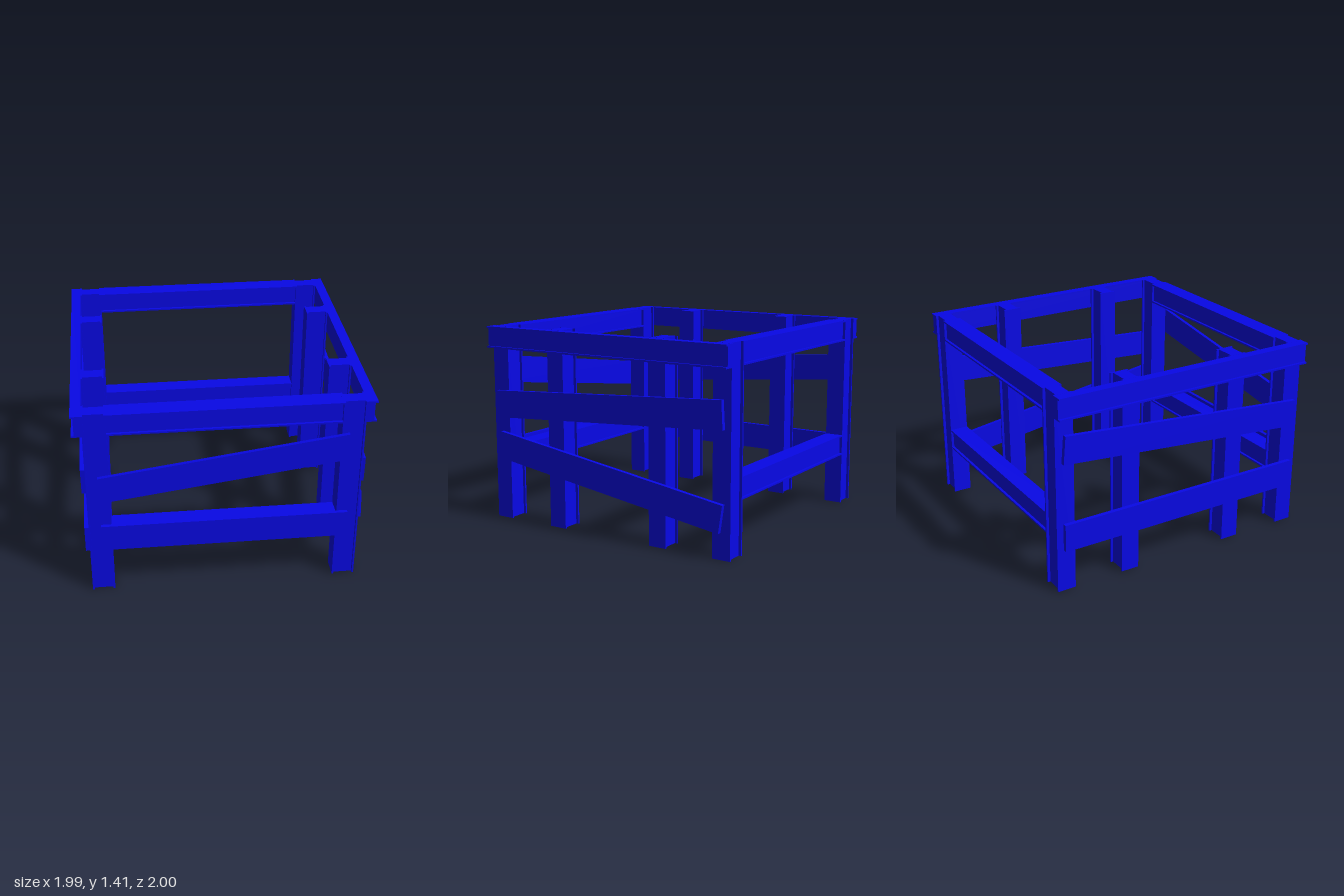
import * as THREE from 'three';

const HALF_PI = Math.PI / 2;
const FLANGE = 0.012; // flange thickness
const RECESS = 0.019; // how far the web sits inside the flange edges

export function createModel() {
  const group = new THREE.Group();
  const material = new THREE.MeshStandardMaterial({ color: 0x0808e6 });

  function add(name, geometry, x, y, z) {
    const mesh = new THREE.Mesh(geometry, material);
    mesh.name = name;
    mesh.position.set(x, y, z);
    group.add(mesh);
    return mesh;
  }

  // Flanged section (flanges above and below), extruded along z and centred
  function beam(width, height, length, left = RECESS, right = RECESS) {
    const w = width / 2, h = height / 2, f = h - FLANGE;
    const points = [
      [-w, -h], [w, -h], [w, -f], [w - right, -f], [w - right, f], [w, f],
      [w, h], [-w, h], [-w, f], [-w + left, f], [-w + left, -f], [-w, -f],
    ].map(([x, y]) => new THREE.Vector2(x, y));
    const geometry = new THREE.ExtrudeGeometry(new THREE.Shape(points), { depth: length, bevelEnabled: false });
    return geometry.translate(0, 0, -length / 2);
  }

  // Upright posts, four along each side
  const postGeometry = beam(0.134, 0.156, 1.41).rotateX(-HALF_PI).rotateY(HALF_PI);
  const posts = [['frontPost', 0.906], ['frontMiddlePost', 0.411], ['backMiddlePost', -0.437], ['backPost', -0.933]];
  for (const [name, z] of posts) {
    for (const side of [1, -1]) add(name, postGeometry, side * 0.848, 0.705, z);
  }

  // Top and lower cross rails between the corner posts
  const crossGeometry = beam(0.134, 0.153, 1.55).rotateY(HALF_PI);
  for (const [end, z] of [['front', 0.906], ['back', -0.933]]) {
    add(end + 'TopRail', crossGeometry, 0, 1.333, z);
    add(end + 'LowerRail', crossGeometry, 0, 0.455, z);
  }

  // Long top rails outside the posts, open channel facing outward
  add('leftTopRail', beam(0.07, 0.153, 1.973, 0, RECESS), 0.961, 1.333, -0.0135);
  add('rightTopRail', beam(0.07, 0.153, 1.973, RECESS, 0), -0.961, 1.333, -0.0135);

  // Front boards, the upper one sloping
  const frontBoard = new THREE.BoxGeometry(1.685, 0.195, 0.027);
  add('frontLowerBoard', frontBoard, 0, 0.458, 0.9865);
  add('frontUpperBoard', frontBoard, 0, 0.967, 0.9865).rotation.z = 0.142;

  // Side boards: name, side, height, slope
  const sideBoard = new THREE.BoxGeometry(0.031, 0.195, 1.875);
  const boards = [
    ['leftUpperBoard', 1, 0.903, 0.0575],
    ['leftLowerBoard', 1, 0.415, -0.147],
    ['rightUpperBoard', -1, 0.955, 0.084],
    ['rightLowerBoard', -1, 0.403, 0],
  ];
  for (const [name, side, y, slope] of boards) {
    add(name, sideBoard, side * 0.9415, y, -0.0135).rotation.x = slope;
  }

  return group;
}
